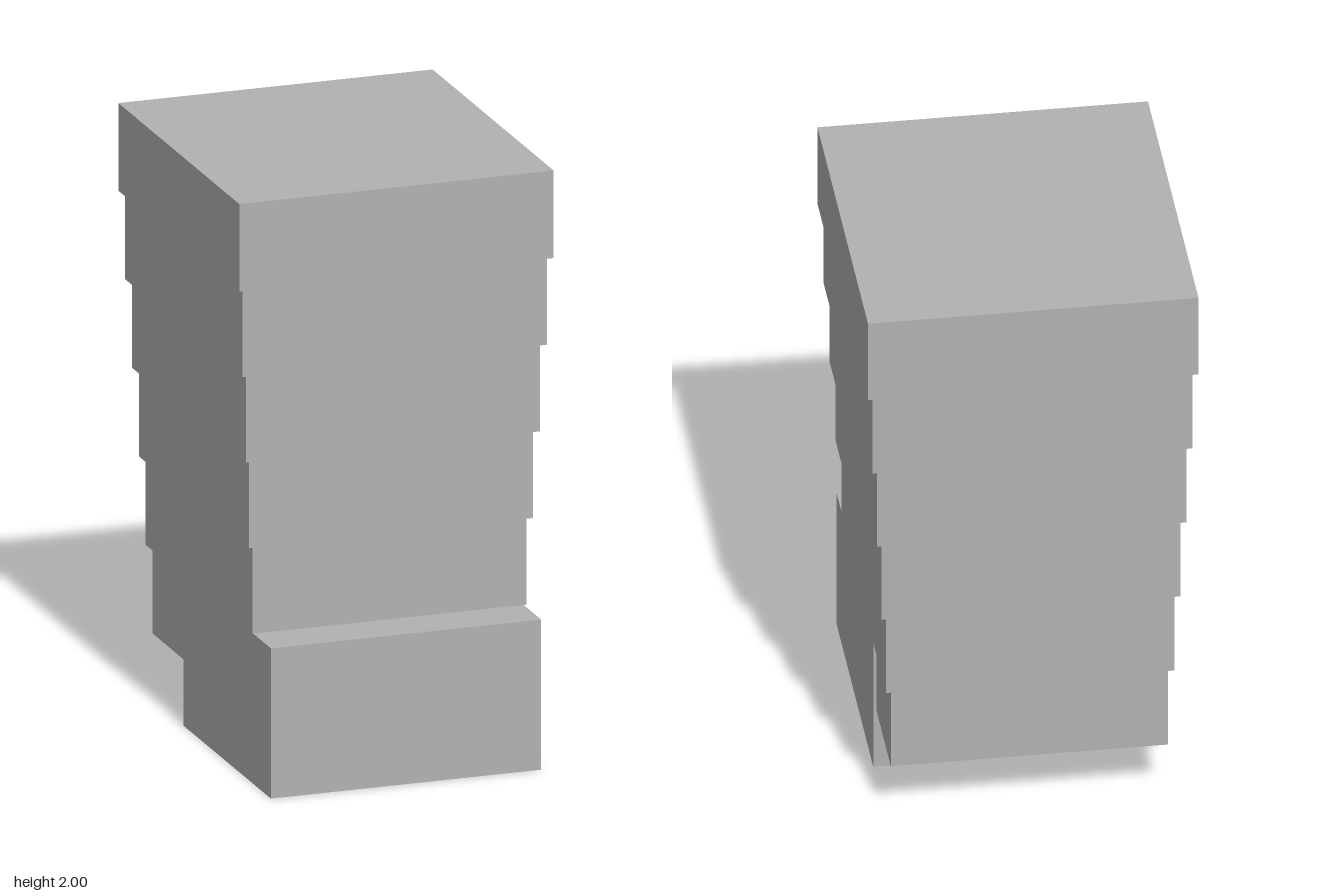
import * as THREE from 'three';

export function createModel() {
  const group = new THREE.Group();
  const concrete = new THREE.MeshStandardMaterial({ color: 0xb2b2b2 });
  concrete.name = 'concrete grey';

  // Box given by its half width and its y and z ranges
  const block = (name, halfWidth, y0, y1, z0, z1) => {
    const mesh = new THREE.Mesh(
      new THREE.BoxGeometry(2 * halfWidth, y1 - y0, z1 - z0), concrete);
    mesh.position.set(0, (y0 + y1) / 2, (z0 + z1) / 2);
    mesh.name = name;
    group.add(mesh);
  };

  // Entrance block at ground level, standing proud at the front
  block('baseBlock', 0.465, 0, 0.51, -0.214, 0.628);

  // Six floors, each a little larger than the one below
  const floors = 6, bottom = 0.215, height = (2 - bottom) / floors;
  for (let i = 0; i < floors; i++) {
    const grow = 0.0174 * i;
    const y = bottom + i * height;
    block(`floor${i + 1}`, 0.454 + grow, y, y + height, -0.541 - grow, 0.45 + grow);
  }
  return group;
}
